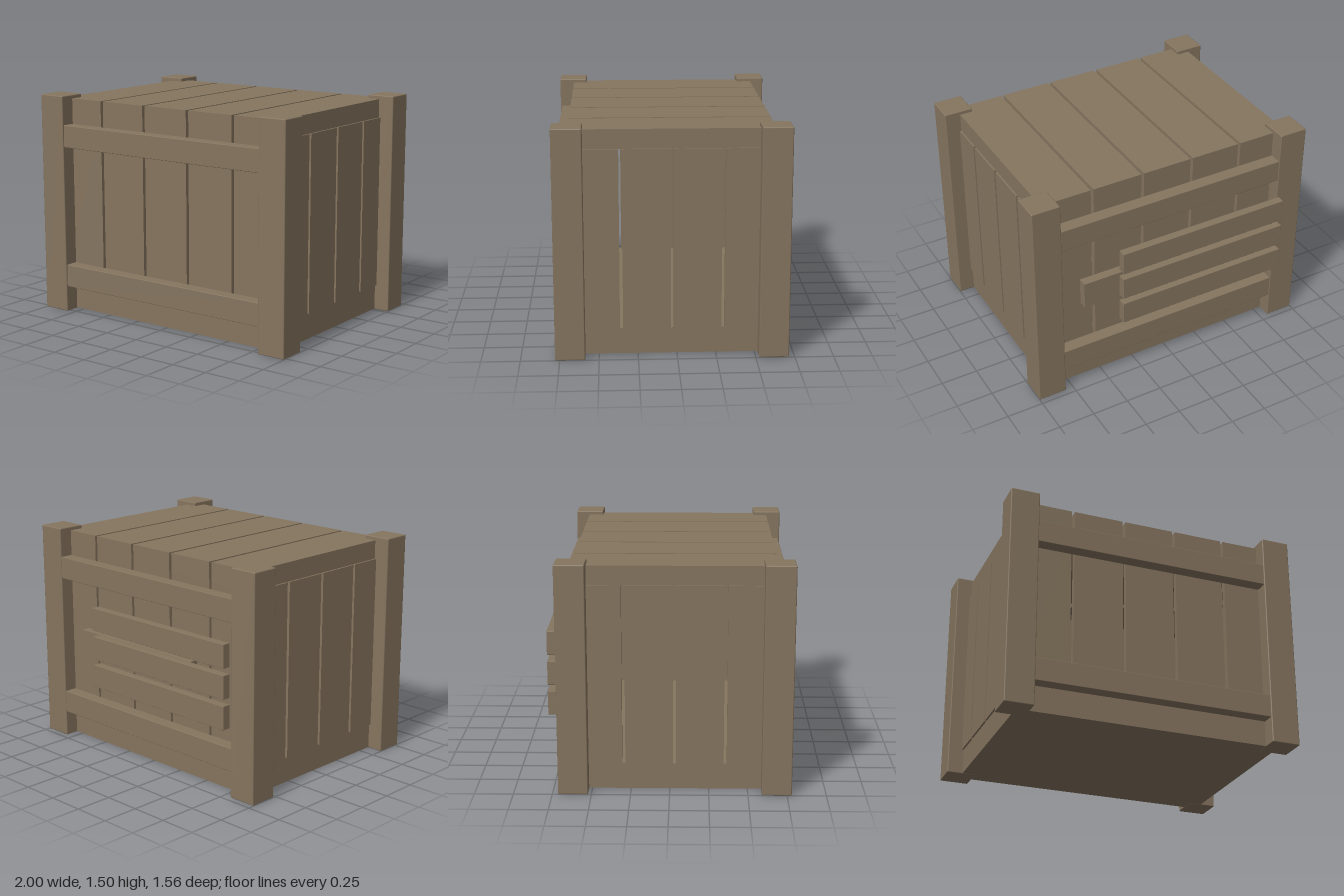
import * as THREE from 'three';
import { RoundedBoxGeometry } from 'three/addons/geometries/RoundedBoxGeometry.js';

export function createModel() {
  const crate = new THREE.Group();
  crate.name = 'woodenCrate';
  const wood = new THREE.MeshStandardMaterial({ color: 0x86755f });
  wood.name = 'weathered wood';

  // Box given by its lower and upper limits on each axis, with optional softened edges
  function board(name, [x0, x1], [y0, y1], [z0, z1], bevel = 0) {
    const size = [x1 - x0, y1 - y0, z1 - z0];
    const geo = bevel ? new RoundedBoxGeometry(...size, 1, bevel) : new THREE.BoxGeometry(...size);
    const mesh = new THREE.Mesh(geo, wood);
    mesh.name = name;
    mesh.position.set((x0 + x1) / 2, (y0 + y1) / 2, (z0 + z1) / 2);
    crate.add(mesh);
  }

  const back = -0.62, front = 0.68;   // body depth
  const floorTop = 0.175, lidBottom = 1.35;

  // Base slab
  board('base', [-0.893, 0.893], [0.004, floorTop], [back, front]);

  // Corner posts
  for (const x of [[-1, -0.805], [0.805, 1]]) {
    board('frontPost', x, [0, 1.5], [0.588, 0.78], 0.007);
    board('backPost', x, [0, 1.5], [-0.713, -0.521], 0.007);
  }

  // Five planks across: lid, front wall and back wall share the same gaps
  const gap = 0.01;
  for (let i = 0; i < 5; i++) {
    const x = [
      i === 0 ? -0.893 : -0.9 + i * 0.36 + gap,
      i === 4 ? 0.893 : -0.9 + (i + 1) * 0.36 - gap,
    ];
    board('lidPlank', x, [lidBottom, 1.475], [back, front]);
    board('frontWallPlank', x, [floorTop, lidBottom], [0.645, front]);
    board('backWallPlank', x, [floorTop, lidBottom], [back, -0.583]);
  }

  // Four planks along each side wall
  for (let i = 0; i < 4; i++) {
    const z = [
      i === 0 ? back + 0.005 : back + i * 0.325 + gap,
      i === 3 ? front - 0.005 : back + (i + 1) * 0.325 - gap,
    ];
    board('leftWallPlank', [0.865, 0.905], [floorTop, lidBottom], z);
    board('rightWallPlank', [-0.905, -0.865], [floorTop, lidBottom], z);
  }

  // Horizontal rails between the posts
  for (const y of [[0.175, 0.33], [1.15, 1.302]]) {
    board('frontRail', [-0.81, 0.81], y, [front, 0.77], 0.004);
    board('backRail', [-0.81, 0.81], y, [-0.708, back], 0.004);
  }

  // Mounting board and three slats on the back
  board('mountingBoard', [-0.42, 0.637], [0.62, 0.81], [-0.682, back]);
  for (const y of [0.473, 0.673, 0.873]) {
    board('backSlat', [-0.81, 0.407], [y, y + 0.157], [-0.783, -0.727], 0.003);
  }

  return crate;
}
